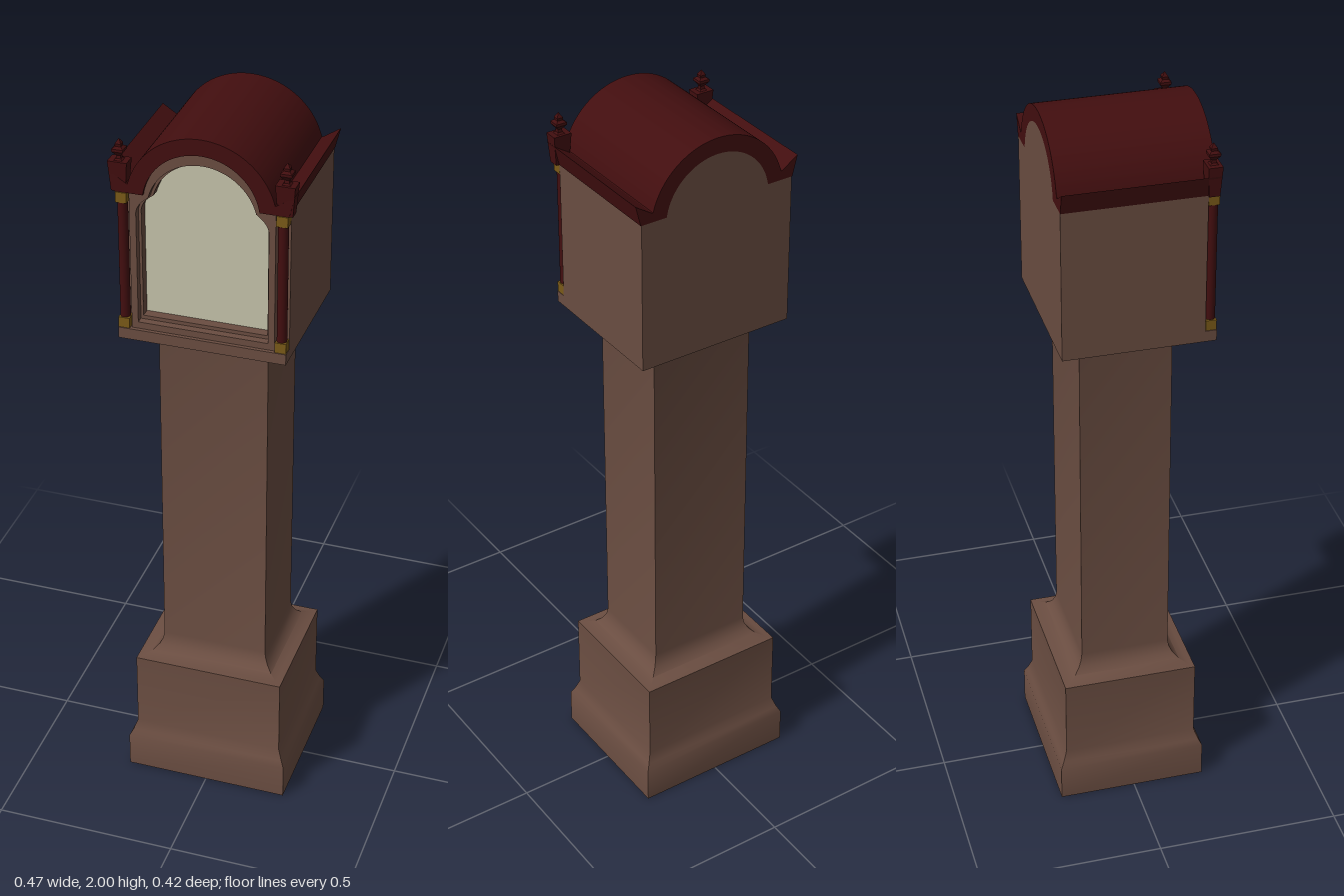
import * as THREE from 'three';
import { toCreasedNormals } from 'three/addons/utils/BufferGeometryUtils.js';

const mat = (name, color, side = THREE.FrontSide) => {
  const m = new THREE.MeshStandardMaterial({ color, side });
  m.name = name;
  return m;
};

const ARCH_Y = 1.807; // centre height of the hood arch

// Extrude a shape between two z planes, keeping edges sharp
function slab(shape, z0, z1) {
  const g = new THREE.ExtrudeGeometry(shape, { depth: z1 - z0, bevelEnabled: false, curveSegments: 32 });
  g.translate(0, 0, z0);
  return toCreasedNormals(g, 0.5);
}

// Rectangular moulding swept up through [half width, height] pairs; depth is a little less than width
function moulding(profile, zInset, zCentre) {
  const pos = [];
  const corners = [[-1, 1], [1, 1], [1, -1], [-1, -1]];
  const at = ([w, y], [sx, sz]) => [sx * w, y, zCentre + sz * (w - zInset)];
  const quad = (a, b, c, d) => pos.push(...a, ...b, ...c, ...a, ...c, ...d);
  for (let i = 0; i < profile.length - 1; i++) {
    for (let k = 0; k < 4; k++) {
      const c0 = corners[k], c1 = corners[(k + 1) % 4];
      quad(at(profile[i], c0), at(profile[i], c1), at(profile[i + 1], c1), at(profile[i + 1], c0));
    }
  }
  const bottom = corners.map((c) => at(profile[0], c));
  quad(bottom[3], bottom[2], bottom[1], bottom[0]);
  const g = new THREE.BufferGeometry();
  g.setAttribute('position', new THREE.Float32BufferAttribute(pos, 3));
  g.computeVertexNormals();
  return toCreasedNormals(g, 0.6);
}

// Straight sides with shoulders and a round arch on top
function hoodOutline(half, bottom) {
  const r = 0.15, a = Math.asin((1.83 - ARCH_Y) / r);
  const s = new THREE.Shape();
  s.moveTo(-half, bottom);
  s.lineTo(half, bottom);
  s.lineTo(half, 1.83);
  s.absarc(0, ARCH_Y, r, a, Math.PI - a, false);
  s.lineTo(-half, 1.83);
  s.closePath();
  return s;
}

// Dial opening: rounded shoulders below a narrower arch
function dialOutline(Kind, half, bottom, r) {
  const cy = 1.785, a = 0.25, ax = r * Math.cos(a), ay = cy + r * Math.sin(a);
  const s = new Kind();
  s.moveTo(-half, bottom);
  s.lineTo(half, bottom);
  s.lineTo(half, 1.775);
  s.quadraticCurveTo(half - 0.003, 1.8, ax, ay);
  s.absarc(0, cy, r, a, Math.PI - a, false);
  s.quadraticCurveTo(-half + 0.003, 1.8, -half, 1.775);
  s.closePath();
  return s;
}

// Arched roof band with flared eaves
function roofOutline() {
  const R = 0.193, r = 0.15;
  const A = Math.asin((1.855 - ARCH_Y) / R), a = Math.asin((1.83 - ARCH_Y) / r);
  const s = new THREE.Shape();
  s.moveTo(0.148, 1.83);
  s.lineTo(0.222, 1.83);
  s.lineTo(0.236, 1.885);
  s.lineTo(0.19, 1.855);
  s.absarc(0, ARCH_Y, R, A, Math.PI - A, false);
  s.lineTo(-0.19, 1.855);
  s.lineTo(-0.236, 1.885);
  s.lineTo(-0.222, 1.83);
  s.absarc(0, ARCH_Y, r, Math.PI - a, a, true);
  return s;
}

export function createModel() {
  const wood = mat('brown wood', 0x6a4d41);
  const red = mat('dark red wood', 0x420e0f);
  const cream = mat('cream dial', 0xc6c3aa);
  const brass = mat('brass', 0x7a5a18);

  const root = new THREE.Group();
  root.name = 'longcaseClock';
  const add = (name, geo, material, x = 0, y = 0, z = 0, parent = root) => {
    const m = new THREE.Mesh(geo, material);
    m.name = name;
    m.position.set(x, y, z);
    parent.add(m);
    return m;
  };

  // Plinth, lower cove, trunk and upper cove
  add('plinthAndTrunk', moulding([
    [0.228, 0], [0.228, 0.1], [0.219, 0.118], [0.208, 0.148], [0.208, 0.37],
    [0.192, 0.372], [0.172, 0.38], [0.157, 0.395], [0.149, 0.412], [0.146, 0.43],
    [0.146, 1.38], [0.149, 1.398], [0.157, 1.411], [0.175, 1.42],
  ], 0.024, -0.006), wood);

  // Hood case, with a layered opening in front
  add('hoodCase', slab(hoodOutline(0.22, 1.42), -0.19, 0.15), wood);
  const inner = hoodOutline(0.22, 1.42);
  inner.holes.push(dialOutline(THREE.Path, 0.163, 1.478, 0.135));
  add('hoodFront', slab(inner, 0.15, 0.18), wood);
  const door = hoodOutline(0.187, 1.45);
  door.holes.push(dialOutline(THREE.Path, 0.17, 1.468, 0.142));
  add('doorFrame', slab(door, 0.18, 0.2), wood);
  add('hoodSill', new THREE.BoxGeometry(0.44, 0.03, 0.03), wood, 0, 1.435, 0.195);

  // Dial plate at the back of the opening
  add('dial', slab(dialOutline(THREE.Shape, 0.163, 1.478, 0.135), 0.15, 0.154), cream);

  // Roof
  add('roof', slab(roofOutline(), -0.19, 0.208), red);

  // Corner columns with brass caps, and square finials above
  const column = new THREE.CylinderGeometry(0.013, 0.013, 0.32, 20);
  const cap = new THREE.BoxGeometry(0.029, 0.028, 0.028);
  const plinth = toCreasedNormals(
    new THREE.CylinderGeometry(Math.SQRT2, Math.SQRT2 * 0.75, 1, 4).rotateY(Math.PI / 4), 0.4);
  plinth.scale(0.025, 0.08, 0.0185);
  const urnProfile = [
    [0.014, 0], [0.007, 0.006], [0.006, 0.014], [0.016, 0.026], [0.016, 0.033],
    [0.008, 0.038], [0.009, 0.045], [0, 0.058],
  ].map(([r, y]) => new THREE.Vector2(r * 1.3, y));
  const urn = toCreasedNormals(new THREE.LatheGeometry(urnProfile, 4).rotateY(Math.PI / 4), 0.4);

  for (const [side, s] of [['left', 1], ['right', -1]]) {
    const corner = new THREE.Group();
    corner.name = side + 'Corner';
    root.add(corner);
    add(side + 'Column', column, red, s * 0.205, 1.64, 0.195, corner);
    add(side + 'LowerCap', cap, brass, s * 0.205, 1.465, 0.195, corner);
    add(side + 'UpperCap', cap, brass, s * 0.205, 1.815, 0.195, corner);
    add(side + 'FinialBase', plinth, red, s * 0.212, 1.87, 0.1915, corner);
    add(side + 'Finial', urn, red, s * 0.212, 1.908, 0.1915, corner);
  }
  return root;
}
